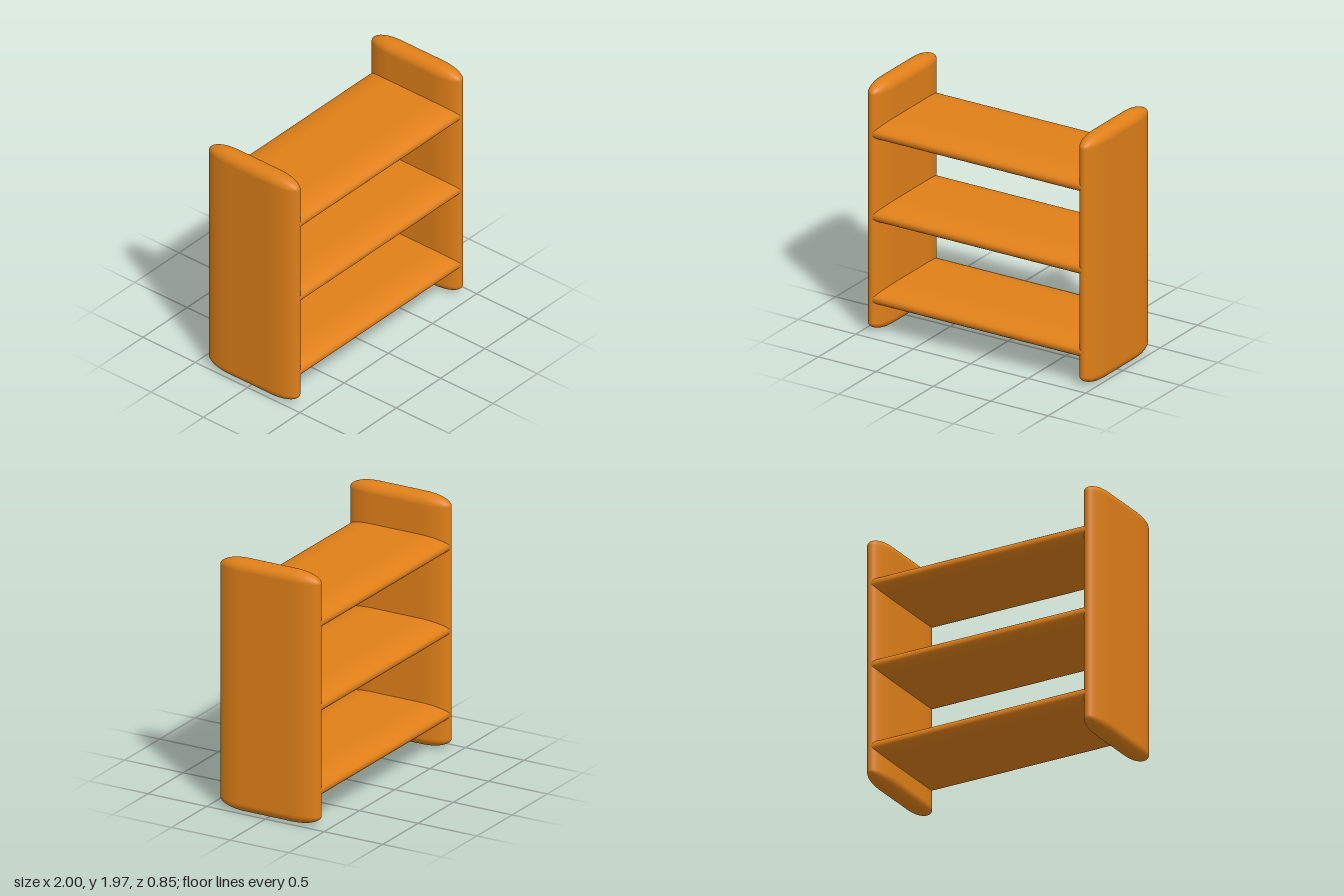
import * as THREE from 'three';
import { RoundedBoxGeometry } from 'three/addons/geometries/RoundedBoxGeometry.js';

const THICKNESS = 0.16;
const DEPTH = 0.85;
const RADIUS = 0.077;
const STRETCH = 2.9; // rounding is drawn out along z into an elliptical edge

const material = new THREE.MeshStandardMaterial({ color: 0xe08018 });

// Pillow-edged board: rounded box whose corners are stretched front to back
function board(name, width, height, x, y) {
  const geometry = new RoundedBoxGeometry(width, height, DEPTH / STRETCH, 8, RADIUS);
  geometry.scale(1, 1, STRETCH);
  const mesh = new THREE.Mesh(geometry, material);
  mesh.name = name;
  mesh.position.set(x, y, 0);
  return mesh;
}

export function createModel() {
  const model = new THREE.Group();
  model.name = 'shelfUnit';

  // Upright side panels
  const height = 1.97;
  model.add(board('leftPanel', THICKNESS, height, 0.92, height / 2));
  model.add(board('rightPanel', THICKNESS, height, -0.92, height / 2));

  // Three shelves, their ends buried in the panels
  ['bottomShelf', 'middleShelf', 'topShelf'].forEach((name, i) => {
    model.add(board(name, 1.96, THICKNESS, 0, 0.27 + i * 0.656));
  });

  return model;
}
